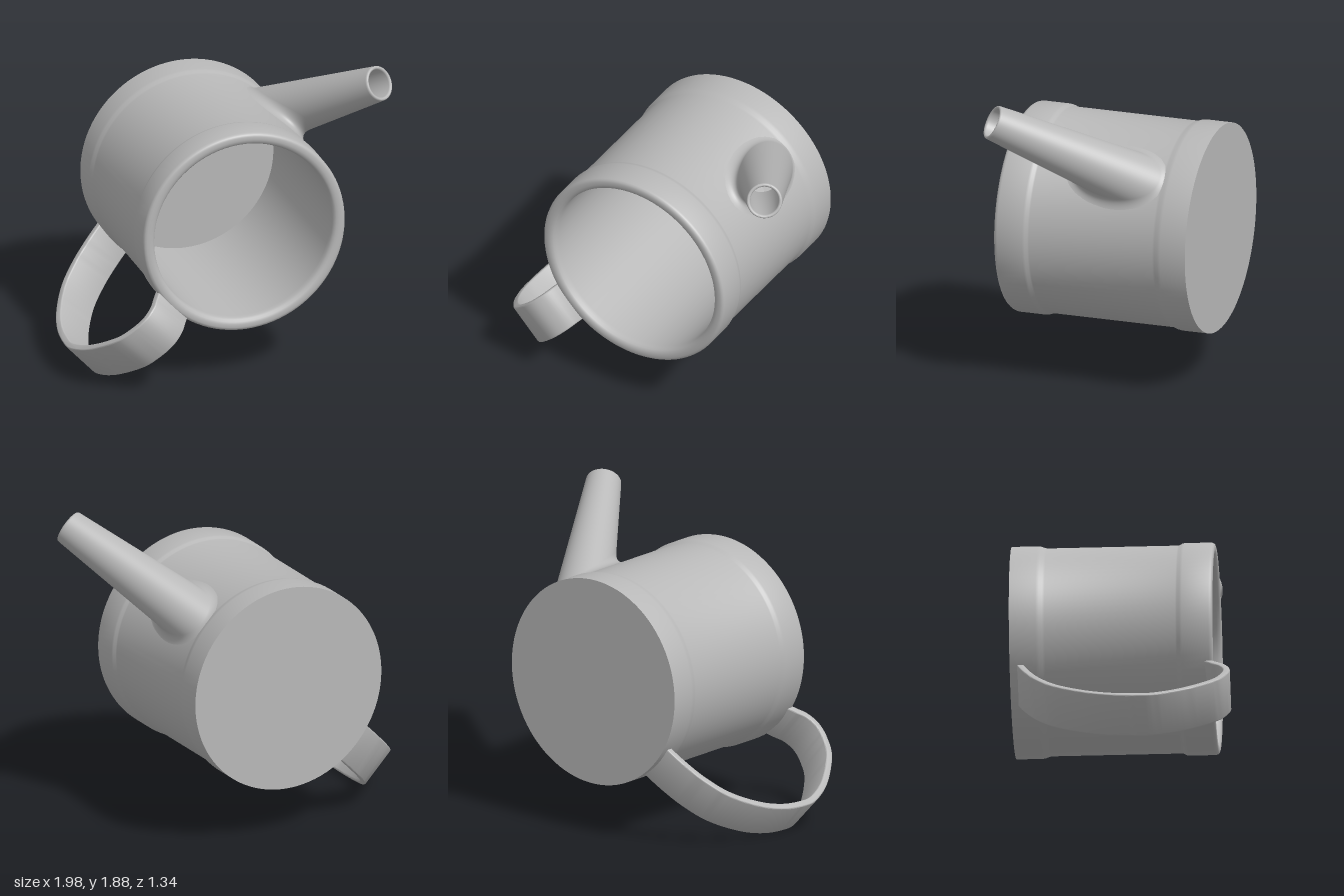
import * as THREE from 'three';
import { toCreasedNormals } from 'three/addons/utils/BufferGeometryUtils.js';
import { ParametricGeometry } from 'three/addons/geometries/ParametricGeometry.js';

const V2 = (x, y) => new THREE.Vector2(x, y);
const BODY_R = 0.628;

// Spout axis in the pot's frame: +x points out along the spout's radius, z along the pot
const spoutBase = new THREE.Vector3(0.62, 0, -0.2);
const spoutDir = new THREE.Vector3(0.657, 0, 0.754).normalize();
const e1 = new THREE.Vector3(spoutDir.z, 0, -spoutDir.x);
const e2 = new THREE.Vector3(0, 1, 0);
const SPOUT_LEN = 0.89;

function spoutPoint(angle, s) {
  const r = THREE.MathUtils.lerp(0.17, 0.108, s / SPOUT_LEN);
  return spoutBase.clone().addScaledVector(spoutDir, s)
    .addScaledVector(e1, r * Math.cos(angle)).addScaledVector(e2, r * Math.sin(angle));
}

// Distance along the spout where its side meets the body
function footDistance(angle) {
  let lo = -0.5, hi = SPOUT_LEN;
  for (let i = 0; i < 30; i++) {
    const mid = (lo + hi) / 2, p = spoutPoint(angle, mid);
    if (Math.hypot(p.x, p.y) < BODY_R && p.x > 0) lo = mid; else hi = mid;
  }
  return hi;
}

// Cone that flares into the body through a curved fillet
function spoutSurface(u, v, target) {
  const a = u * Math.PI * 2;
  const s0 = footDistance(a);
  const spread = 0.07 - 0.055 * Math.cos(a) + 0.01 * Math.cos(a) ** 2;
  const s1 = s0 + spread * 1.1;
  if (v > 0.5) return target.copy(spoutPoint(a, s1 + (SPOUT_LEN - s1) * (v - 0.5) * 2));
  const foot = spoutPoint(a, s0);
  const phi = Math.atan2(foot.y, foot.x);
  const away = V2(phi * BODY_R, foot.z - spoutBase.z).normalize().multiplyScalar(spread);
  const phi2 = phi + away.x / BODY_R;
  const edge = new THREE.Vector3(
    Math.cos(phi2) * (BODY_R - 0.002), Math.sin(phi2) * (BODY_R - 0.002), foot.z + away.y);
  const t = v * 2, top = spoutPoint(a, s1);
  return target.set(0, 0, 0).addScaledVector(edge, (1 - t) ** 2)
    .addScaledVector(foot, 2 * t * (1 - t)).addScaledVector(top, t * t);
}

export function createModel() {
  const model = new THREE.Group();
  const grey = new THREE.MeshStandardMaterial({ color: 0xb8b8b8 });
  grey.name = 'grey';

  const pot = new THREE.Group();
  pot.name = 'pot';
  pot.position.set(0.01, 0.962, 0);
  pot.rotation.z = Math.atan2(0.684, 0.729);
  model.add(pot);

  const add = (name, geometry) => {
    const mesh = new THREE.Mesh(geometry, grey);
    mesh.name = name;
    pot.add(mesh);
    return mesh;
  };

  // Hollow body with a raised band at each end and a rounded rim
  const profile = [
    [0, -0.67], [0.642, -0.67], [0.642, -0.51], [0.639, -0.49], [0.631, -0.47], [BODY_R, -0.455],
    [BODY_R, 0.335], [0.63, 0.345], [0.639, 0.36], [0.642, 0.375], [0.642, 0.535],
    [0.639, 0.547], [0.632, 0.556], [0.62, 0.56], [0.6, 0.56], [0.585, 0.556],
    [0.573, 0.547], [0.566, 0.53], [0.565, 0.5], [0.565, -0.61], [0, -0.61],
  ].map(([r, z]) => V2(r, z));
  add('body', toCreasedNormals(new THREE.LatheGeometry(profile, 96).rotateX(Math.PI / 2), 0.9));

  // Spout outside
  add('spout', new ParametricGeometry(spoutSurface, 64, 32));

  // Spout lip and bore, closed at the inner end
  const L = SPOUT_LEN;
  const bore = [
    [0.108, L], [0.107, L + 0.007], [0.102, L + 0.012], [0.095, L + 0.012],
    [0.089, L + 0.008], [0.086, L], [0.1, 0.06], [0, 0.06],
  ].map(([r, y]) => V2(r, y));
  const lip = add('spoutLip', toCreasedNormals(new THREE.LatheGeometry(bore, 48), 0.9));
  lip.position.copy(spoutBase);
  lip.quaternion.setFromUnitVectors(e2, spoutDir);

  // Flat strap handle opposite the spout: outer curve as (radius, z), thickened inward
  const outer = new THREE.SplineCurve([
    [0.595, 0.53], [0.64, 0.575], [0.7, 0.635], [0.79, 0.668], [0.9, 0.65], [1.02, 0.585],
    [1.17, 0.41], [1.25, 0.24], [1.262, 0.12], [1.24, -0.05], [1.175, -0.22],
    [1.05, -0.4], [0.9, -0.515], [0.74, -0.59], [0.6, -0.635],
  ].map(([r, z]) => V2(-r, z)));
  const N = 72, THICK = 0.042, WIDTH = 0.262, BEVEL = 0.008;
  const outside = [], inside = [];
  for (let i = 0; i <= N; i++) {
    const p = outer.getPoint(i / N), t = outer.getTangent(i / N);
    const n = V2(-t.y, t.x);
    outside.push(p.clone().addScaledVector(n, BEVEL));
    inside.unshift(p.clone().addScaledVector(n, THICK - BEVEL));
  }
  const strap = new THREE.ExtrudeGeometry(new THREE.Shape([...outside, ...inside]), {
    depth: WIDTH - 2 * BEVEL, bevelEnabled: true, bevelSize: BEVEL,
    bevelThickness: BEVEL, bevelSegments: 3,
  });
  strap.translate(0, 0, -WIDTH / 2 + BEVEL).rotateX(Math.PI / 2);
  // Bring the strap back to face along z
  add('handle', toCreasedNormals(strap.rotateX(Math.PI).rotateX(Math.PI), 0.7));

  return model;
}
